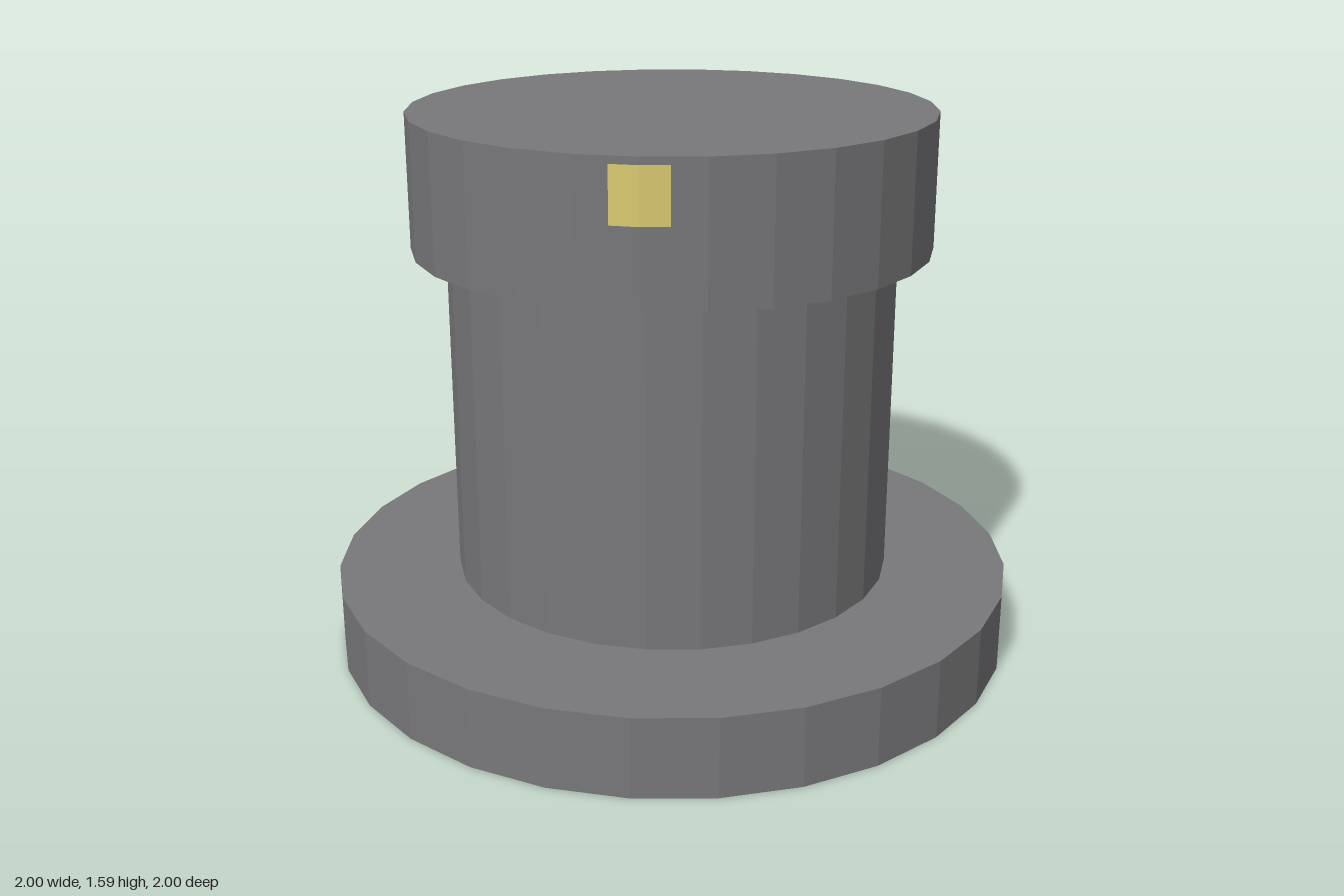
import * as THREE from 'three';

const SIDES = 28;

export function createModel() {
  const group = new THREE.Group();
  const grey = new THREE.MeshStandardMaterial({ color: 0x78787a, flatShading: true });
  grey.name = 'dark grey';
  const yellow = new THREE.MeshStandardMaterial({ color: 0xd8cb70, flatShading: true });
  yellow.name = 'pale yellow';

  // Stacked faceted drums: name, radius, bottom, top
  const drums = [
    ['base', 1.0, 0, 0.23],
    ['column', 0.643, 0.23, 1.2],
    ['head', 0.742, 1.2, 1.585],
  ];
  for (const [name, radius, bottom, top] of drums) {
    const mesh = new THREE.Mesh(new THREE.CylinderGeometry(radius, radius, top - bottom, SIDES), grey);
    mesh.position.y = (bottom + top) / 2;
    mesh.name = name;
    group.add(mesh);
  }

  // Small square marker, folded along the front edge of the head
  const plate = new THREE.PlaneGeometry(0.152, 0.15, 2, 1);
  const pos = plate.attributes.position;
  for (let i = 0; i < pos.count; i++) {
    pos.setZ(i, 0.744 - Math.abs(pos.getX(i)) * Math.tan(Math.PI / SIDES));
  }
  plate.computeVertexNormals();
  const marker = new THREE.Mesh(plate, yellow);
  marker.position.y = 1.49;
  marker.name = 'frontMarker';
  group.add(marker);

  return group;
}
